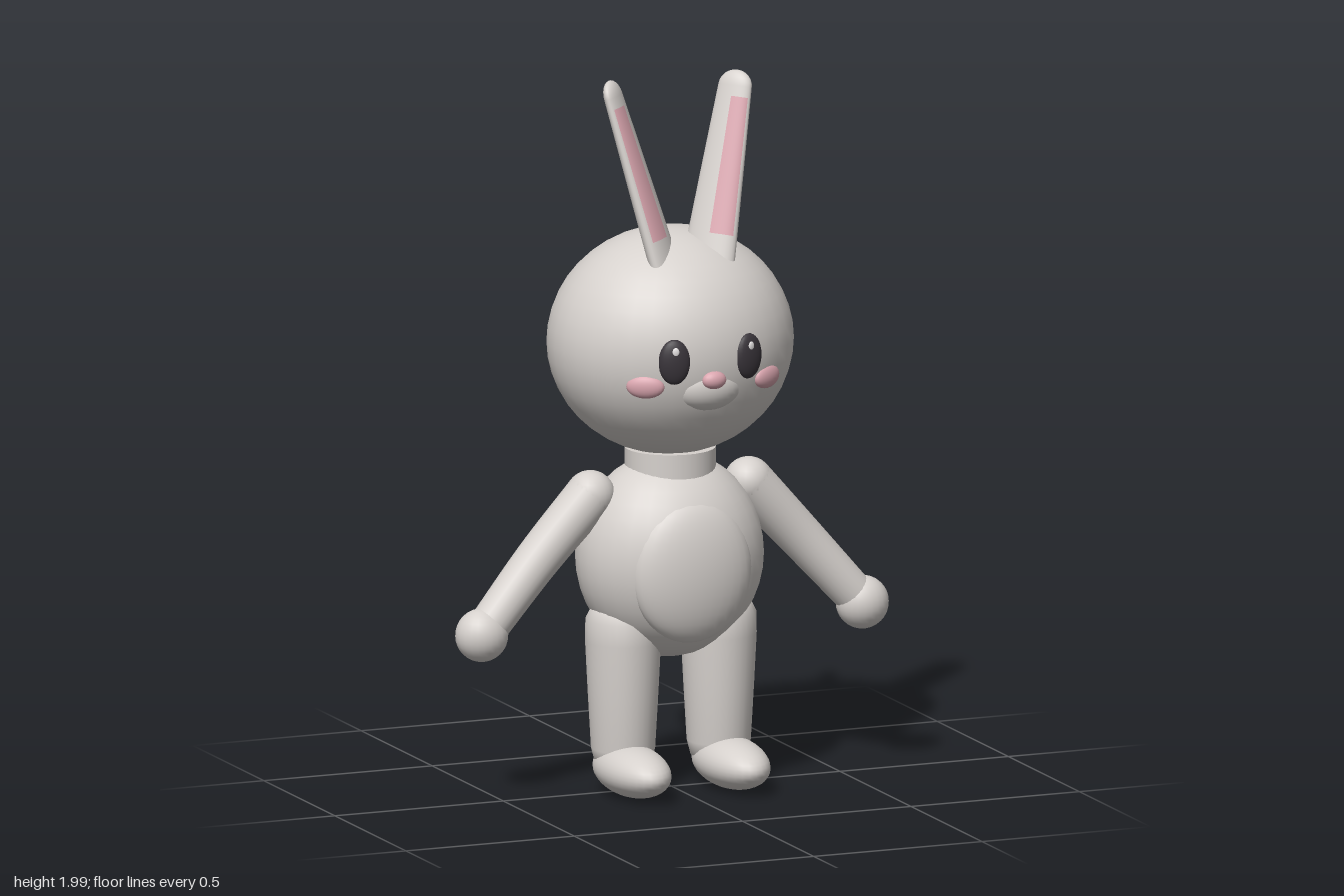
import * as THREE from 'three';

const material = (name, color, side = THREE.FrontSide) => {
  const m = new THREE.MeshStandardMaterial({ color, side });
  m.name = name;
  return m;
};

export function createModel() {
  const fur = material('pale fur', 0xd6d1cd);
  const pink = material('soft pink', 0xd9a5ae, THREE.DoubleSide);
  const dark = material('eye dark', 0x39343a);
  const white = material('eye glint', 0xe6e3e3);
  const model = new THREE.Group();
  model.name = 'rabbit';

  const add = (name, geometry, mat, parent = model) => {
    const mesh = new THREE.Mesh(geometry, mat);
    mesh.name = name;
    parent.add(mesh);
    return mesh;
  };
  // Sphere stretched to radii r, centred at p, turned about y
  const ellipsoid = (name, mat, p, r, turn = 0, seg = 32) => {
    const mesh = add(name, new THREE.SphereGeometry(1, seg, seg / 2 + 4), mat);
    mesh.position.set(...p);
    mesh.scale.set(...r);
    mesh.rotation.y = turn;
    return mesh;
  };
  const lathe = (pts, seg = 32, start = 0, length = Math.PI * 2) =>
    new THREE.LatheGeometry(pts.map(([x, y]) => new THREE.Vector2(x, y)), seg, start, length);

  // Head, neck, body
  ellipsoid('head', fur, [0, 1.25, -0.01], [0.343, 0.316, 0.314], 0, 36);
  const neck = add('neck', new THREE.CylinderGeometry(0.125, 0.125, 0.1, 32), fur);
  neck.position.set(0, 0.9, -0.01);
  ellipsoid('body', fur, [0, 0.65, -0.015], [0.265, 0.285, 0.223]);
  ellipsoid('belly', fur, [0, 0.63, 0.14], [0.175, 0.2, 0.073]);
  ellipsoid('tail', fur, [0, 0.48, -0.235], [0.078, 0.083, 0.078]);

  // Muzzle and nose
  ellipsoid('muzzle', fur, [0, 1.168, 0.24], [0.105, 0.07, 0.065]);
  ellipsoid('nose', pink, [0, 1.195, 0.3], [0.035, 0.025, 0.022], 0, 20);

  // Ear outline: wide at the root, narrowing to a round tip
  const tip = Array.from({ length: 7 }, (_, i) => {
    const a = (i / 6) * Math.PI / 2;
    return [0.05 * Math.cos(a), 0.49 + 0.045 * Math.sin(a)];
  });
  const earProfile = [[0.001, -0.1], [0.083, -0.1], [0.078, 0], [0.064, 0.25], ...tip];
  const innerProfile = [0.08, 0.2, 0.32, 0.46].map(y => [0.0795 - 0.058 * y, y]);

  for (const s of [-1, 1]) {
    const side = s > 0 ? 'left' : 'right';

    // Ear leans outward and back, its face turned inward
    const root = new THREE.Vector3(s * 0.065, 1.48, 0.105);
    const axis = new THREE.Vector3(s * 0.185, 1.965, 0.015).sub(root).normalize();
    const across = new THREE.Vector3(0.66, 0, s * 0.75);
    across.addScaledVector(axis, -across.dot(axis)).normalize();
    const facing = new THREE.Vector3().crossVectors(across, axis);
    const ear = new THREE.Group();
    ear.name = side + 'Ear';
    ear.applyMatrix4(new THREE.Matrix4().makeBasis(across, axis, facing).setPosition(root));
    model.add(ear);
    add(side + 'EarShell', lathe(earProfile), fur, ear).scale.z = 0.42;
    const start = s > 0 ? 0.08 : -1.15;
    add(side + 'InnerEar', lathe(innerProfile, 12, start, 1.07), pink, ear).scale.set(1.01, 1, 0.46);

    // Eye, glint and cheek
    ellipsoid(side + 'Eye', dark, [s * 0.11, 1.25, 0.28], [0.044, 0.063, 0.02], s * 0.3, 24);
    ellipsoid(side + 'EyeGlint', white, [s * 0.112, 1.28, 0.296], [0.01, 0.013, 0.004], s * 0.3, 12);
    ellipsoid(side + 'Cheek', pink, [s * 0.18, 1.18, 0.242], [0.053, 0.033, 0.02], s * 0.55, 24);

    // Arm: tapered tube with a round shoulder and hand
    const path = new THREE.CatmullRomCurve3([
      new THREE.Vector3(s * 0.235, 0.832, -0.015),
      new THREE.Vector3(s * 0.385, 0.67, -0.018),
      new THREE.Vector3(s * 0.55, 0.485, 0),
    ]);
    const rings = 16, sides = 24;
    const tube = new THREE.TubeGeometry(path, rings, 1, sides);
    const pos = tube.attributes.position, v = new THREE.Vector3();
    for (let i = 0; i < pos.count; i++) {
      const t = Math.floor(i / (sides + 1)) / rings;
      const c = path.getPointAt(t);
      v.fromBufferAttribute(pos, i).sub(c).multiplyScalar(0.068 - 0.012 * t).add(c);
      pos.setXYZ(i, v.x, v.y, v.z);
    }
    add(side + 'Arm', tube, fur);
    ellipsoid(side + 'Shoulder', fur, [s * 0.235, 0.832, -0.015], [0.068, 0.068, 0.068], 0, 24);
    ellipsoid(side + 'Hand', fur, [s * 0.565, 0.47, 0.003], [0.074, 0.074, 0.068], 0, 24);

    // Leg and foot
    const leg = add(side + 'Leg', lathe([
      [0.001, 0.055], [0.05, 0.06], [0.077, 0.08], [0.087, 0.12], [0.096, 0.28],
      [0.103, 0.42], [0.102, 0.48], [0.085, 0.515], [0.05, 0.535], [0.001, 0.54],
    ]), fur);
    leg.position.set(s * 0.142, 0, -0.005);
    leg.scale.z = 1.08;
    ellipsoid(side + 'Foot', fur, [s * 0.147, 0.07, 0.07], [0.09, 0.07, 0.18]);
  }
  return model;
}
